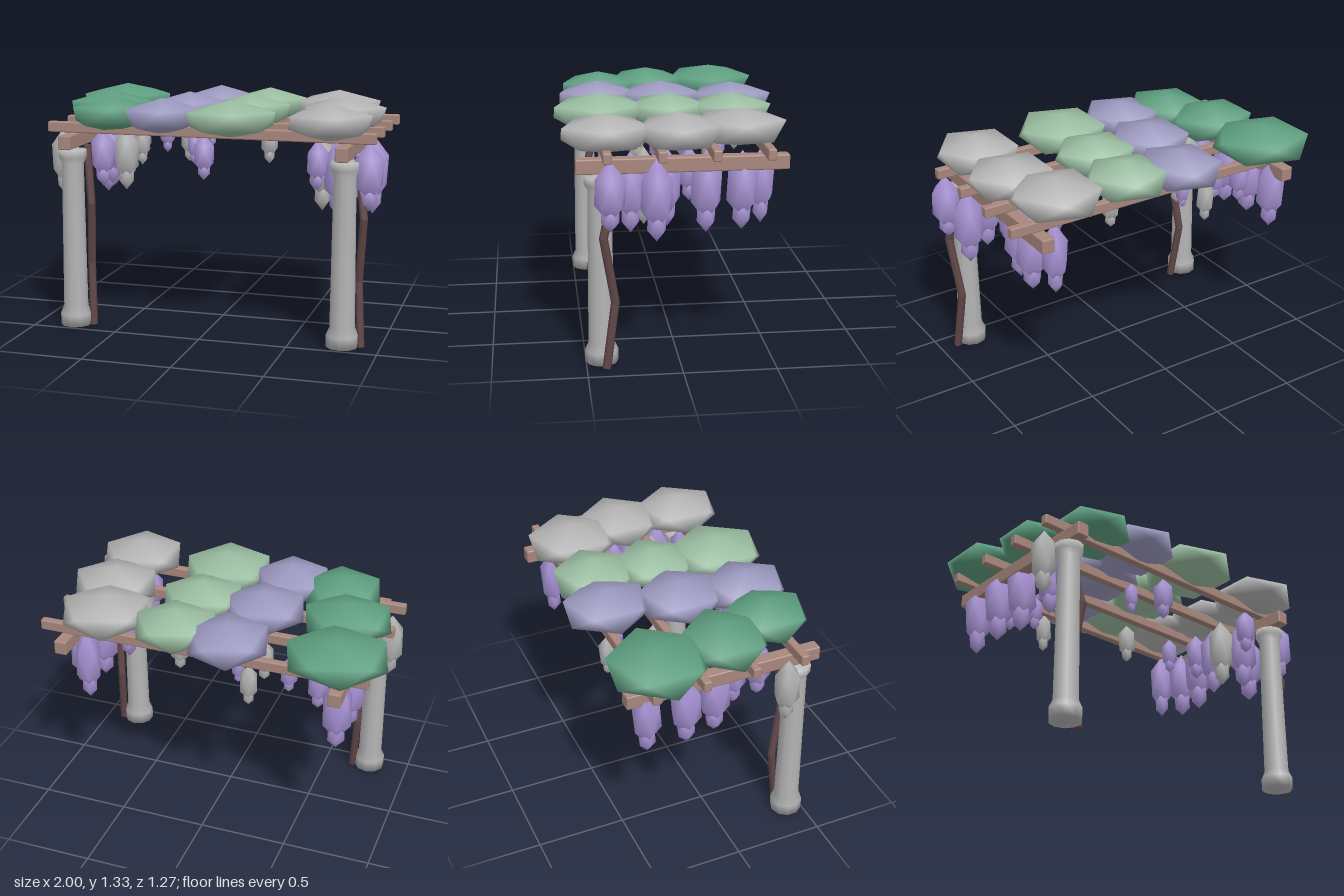
import * as THREE from 'three';
import { mergeVertices } from 'three/addons/utils/BufferGeometryUtils.js';
import { RoundedBoxGeometry } from 'three/addons/geometries/RoundedBoxGeometry.js';

const mat = (name, color) => {
  const m = new THREE.MeshStandardMaterial({ color });
  m.name = name;
  return m;
};

export function createModel() {
  const model = new THREE.Group();
  model.name = 'pergola';
  const grey = mat('pale grey', 0xb4b4b4);
  const wood = mat('wood', 0xa8877d);
  const bark = mat('bark', 0x624749);
  const violet = mat('blossom violet', 0xa994d6);
  const darkGreen = mat('leaf green', 0x5e9f80);
  const lavender = mat('lavender', 0x9c99c0);
  const lightGreen = mat('light leaf green', 0x9abda1);

  const add = (name, geo, material, x = 0, y = 0, z = 0) => {
    const mesh = new THREE.Mesh(geo, material);
    mesh.name = name;
    mesh.position.set(x, y, z);
    model.add(mesh);
    return mesh;
  };

  // Straight stick between two points
  const stick = (name, a, b, r, material) => {
    const dir = b.clone().sub(a);
    const mid = a.clone().add(b).multiplyScalar(0.5);
    const mesh = add(name, new THREE.CylinderGeometry(r, r, dir.length() + r * 0.4, 6), material, mid.x, mid.y, mid.z);
    mesh.quaternion.setFromUnitVectors(new THREE.Vector3(0, 1, 0), dir.normalize());
  };

  // Low-poly blob standing on one corner: half sizes in x, y and z
  const blob = (rx, ry, rz) => {
    let g = new THREE.IcosahedronGeometry(1, 0);
    g.deleteAttribute('normal');
    g.deleteAttribute('uv');
    g = mergeVertices(g, 1e-3);
    g.rotateZ(-Math.atan(2 / (1 + Math.sqrt(5))));
    g.scale(rx / 0.894, ry, rz / 0.85);
    g.computeVertexNormals();
    return g;
  };

  // Posts, long beams and climbing stems
  const postProfile = [
    [0, 0], [0.088, 0.003], [0.09, 0.07], [0.07, 0.115], [0.062, 0.95],
    [0.08, 0.985], [0.08, 1.028], [0, 1.035],
  ].map(([r, y]) => new THREE.Vector2(r, y));
  const stem = [[0.1, 0.005, 0.395], [0.075, 0.36, 0.345], [0.105, 0.72, 0.405], [0.055, 1.04, 0.33]];
  for (const x of [-0.77, 0.795]) {
    add('post', new THREE.LatheGeometry(postProfile, 10), grey, x, 0, 0.416);
    add('beam', new RoundedBoxGeometry(0.072, 0.08, 1.115, 1, 0.008), wood, x, 1.08, -0.018);
    const pts = stem.map(([dx, y, z]) => new THREE.Vector3(x + dx, y, z));
    for (let i = 0; i < 3; i++) stick('climbingStem', pts[i], pts[i + 1], 0.023, bark);
  }

  // Cross rafters
  for (let i = 0; i < 4; i++) {
    add('rafter', new RoundedBoxGeometry(1.88, 0.06, 0.046, 1, 0.008), wood, 0.016, 1.15, 0.383 - i * 0.28);
  }

  // Flattened leaf clumps: [x, z, radius x, radius z]
  const clumps = [
    [darkGreen, [[-0.725, -0.375, 0.275, 0.25], [-0.675, 0.03, 0.245, 0.215], [-0.56, 0.335, 0.22, 0.215]]],
    [lavender, [[-0.13, -0.415, 0.22, 0.225], [-0.205, -0.01, 0.225, 0.22], [-0.25, 0.36, 0.21, 0.22]]],
    [lightGreen, [[0.19, -0.365, 0.225, 0.215], [0.165, -0.01, 0.225, 0.21], [0.15, 0.375, 0.25, 0.25]]],
    [grey, [[0.615, -0.34, 0.245, 0.24], [0.705, -0.01, 0.24, 0.215], [0.7, 0.375, 0.23, 0.23]]],
  ];
  clumps.forEach(([material, list]) => list.forEach(([x, z, rx, rz]) =>
    add('leafClump', blob(rx, 0.102, rz), material, x, 1.227, z)));

  // Hanging blossoms, a long blob with a smaller tip below: [x, z, length, radius]
  const hang = (name, material, list) => list.forEach(([x, z, len, r]) => {
    add(name, blob(r, len * 0.44, r * 0.95), material, x, 1.135 - len * 0.44, z);
    add(name + 'Tip', blob(r * 0.6, len * 0.23, r * 0.57), material, x, 1.135 - len * 0.77, z);
  });
  hang('violetBlossom', violet, [
    [0.915, 0.37, 0.38, 0.083], [0.9, 0.13, 0.44, 0.085], [0.73, 0.25, 0.44, 0.083],
    [0.67, 0.05, 0.43, 0.075], [0.735, -0.15, 0.45, 0.084], [0.765, -0.335, 0.43, 0.083],
    [0.69, -0.45, 0.42, 0.07], [0.64, -0.07, 0.3, 0.06], [0.55, -0.22, 0.23, 0.048],
    [0.635, 0.37, 0.28, 0.058],
    [-0.76, -0.45, 0.43, 0.08], [-0.77, -0.23, 0.43, 0.085], [-0.74, -0.05, 0.43, 0.085],
    [-0.655, 0.1, 0.35, 0.072], [-0.65, 0.25, 0.34, 0.072], [-0.62, -0.33, 0.28, 0.058],
    [-0.45, -0.32, 0.22, 0.047], [-0.18, -0.38, 0.18, 0.037], [-0.12, 0.18, 0.2, 0.04],
    [-0.015, 0.34, 0.26, 0.058],
  ]);
  hang('paleBlossom', grey, [
    [-0.865, 0.315, 0.385, 0.07], [-0.565, 0.1, 0.385, 0.075], [-0.5, 0.0, 0.25, 0.048],
    [-0.27, -0.47, 0.25, 0.048], [-0.27, -0.2, 0.25, 0.052], [0.215, -0.25, 0.25, 0.052],
    [0.625, 0.17, 0.43, 0.075],
  ]);
  return model;
}
